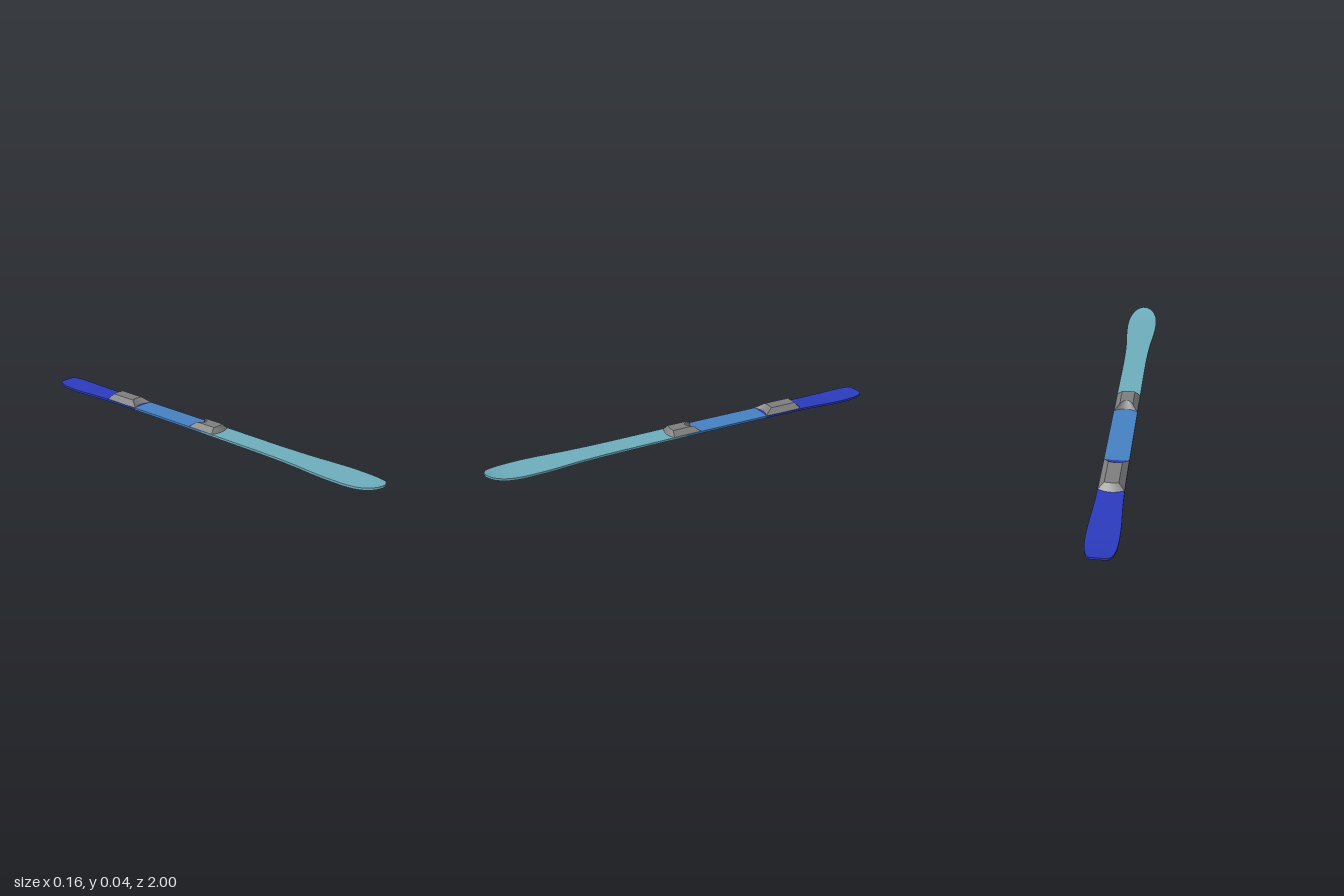
import * as THREE from 'three';
import { mergeGeometries } from 'three/addons/utils/BufferGeometryUtils.js';

const THICK = 0.0105;
const mat = (name, color) => {
  const m = new THREE.MeshStandardMaterial({ color });
  m.name = name;
  return m;
};

// Ribbon between two rows of points; smooth along its length, sharp at its edges
function strip(a, b) {
  const n = a.length, index = [];
  for (let i = 0; i < n - 1; i++) index.push(i, i + 1, n + i, n + i, i + 1, n + i + 1);
  const g = new THREE.BufferGeometry().setFromPoints([...a, ...b]);
  g.setIndex(index);
  g.computeVertexNormals();
  return g;
}

// Stations of one ski section: [z, half width, underside height]
function stations(points, steps) {
  const curve = new THREE.CatmullRomCurve3(points.map(([z, w, y]) => new THREE.Vector3(w, y, z)));
  return curve.getPoints((points.length - 1) * steps);
}

// Four edge rows of the ski body
function edges(st) {
  const row = (side, up) => st.map((p) => new THREE.Vector3(side * p.x, p.y + up, p.z));
  return { lt: row(-1, THICK), rt: row(1, THICK), rb: row(1, 0), lb: row(-1, 0) };
}

// Bevelled block with bowed ends: f/b are front/back z, with a bow at the centre line
function binding({ baseF, topF, topB, baseB }) {
  const row = (w, y, [z, bow]) => Array.from({ length: 9 }, (_, i) => {
    const u = i / 4 - 1;
    return new THREE.Vector3(u * w, y, z + bow * (1 - u * u));
  });
  const bf = row(0.057, 0.016, baseF), tf = row(0.031, 0.042, topF);
  const tb = row(0.031, 0.042, topB), bb = row(0.057, 0.016, baseB);
  return mergeGeometries([
    strip(bf, tf), strip(tf, tb), strip(tb, bb), strip(bb, bf),
    strip([bf[8], bb[8]], [tf[8], tb[8]]),
    strip([bb[0], bf[0]], [tb[0], tf[0]]),
  ]);
}

export function createModel() {
  const group = new THREE.Group();
  const teal = mat('teal', 0x70b0c0), blue = mat('midBlue', 0x4683c6);
  const navy = mat('deepBlue', 0x2c3cc0), black = mat('black', 0x050505);
  const grey = mat('grey', 0x808080);
  const add = (name, geometry, material) => {
    const mesh = new THREE.Mesh(geometry, material);
    mesh.name = name;
    group.add(mesh);
  };

  // Ski body, tail to tip
  const sections = [
    ['tail', navy, stations([
      [-1, 0.038, 0.007], [-0.985, 0.052, 0.0055], [-0.95, 0.063, 0.003], [-0.9, 0.068, 0.001],
      [-0.8, 0.067, 0], [-0.7, 0.061, 0.002], [-0.6, 0.058, 0.004], [-0.4, 0.057, 0.0065]], 5)],
    ['waist', blue, stations([[-0.4, 0.057, 0.0065], [-0.17, 0.057, 0.007], [0.05, 0.057, 0.007]], 3)],
    ['nose', teal, stations([
      [0.05, 0.057, 0.007], [0.25, 0.057, 0.006], [0.45, 0.058, 0.005], [0.6, 0.064, 0.004],
      [0.7, 0.073, 0.003], [0.8, 0.078, 0.003], [0.87, 0.076, 0.003], [0.92, 0.068, 0.005],
      [0.96, 0.053, 0.0095], [0.985, 0.035, 0.0145], [1, 0.01, 0.0175]], 5)],
  ];
  for (const [name, material, st] of sections) {
    const { lt, rt, rb, lb } = edges(st), last = st.length - 1;
    const faces = [strip(lt, rt), strip(rt, rb), strip(lb, lt)];
    // end faces of the tail and tip
    if (name === 'tail') faces.push(strip([rb[0], lb[0]], [rt[0], lt[0]]));
    if (name === 'nose') faces.push(strip([lb[last], rb[last]], [lt[last], rt[last]]));
    add(name, mergeGeometries(faces), material);
    add(name + 'Base', strip(rb, lb), black);
  }

  // Toe and heel bindings
  add('toeBinding', binding({
    baseF: [0.115, 0.017], topF: [0.107, 0.003], topB: [0.0, 0.03], baseB: [-0.03, 0.02] }), grey);
  add('heelBinding', binding({
    baseF: [-0.395, -0.02], topF: [-0.442, -0.006], topB: [-0.583, -0.002], baseB: [-0.6, -0.015] }), grey);

  return group;
}
